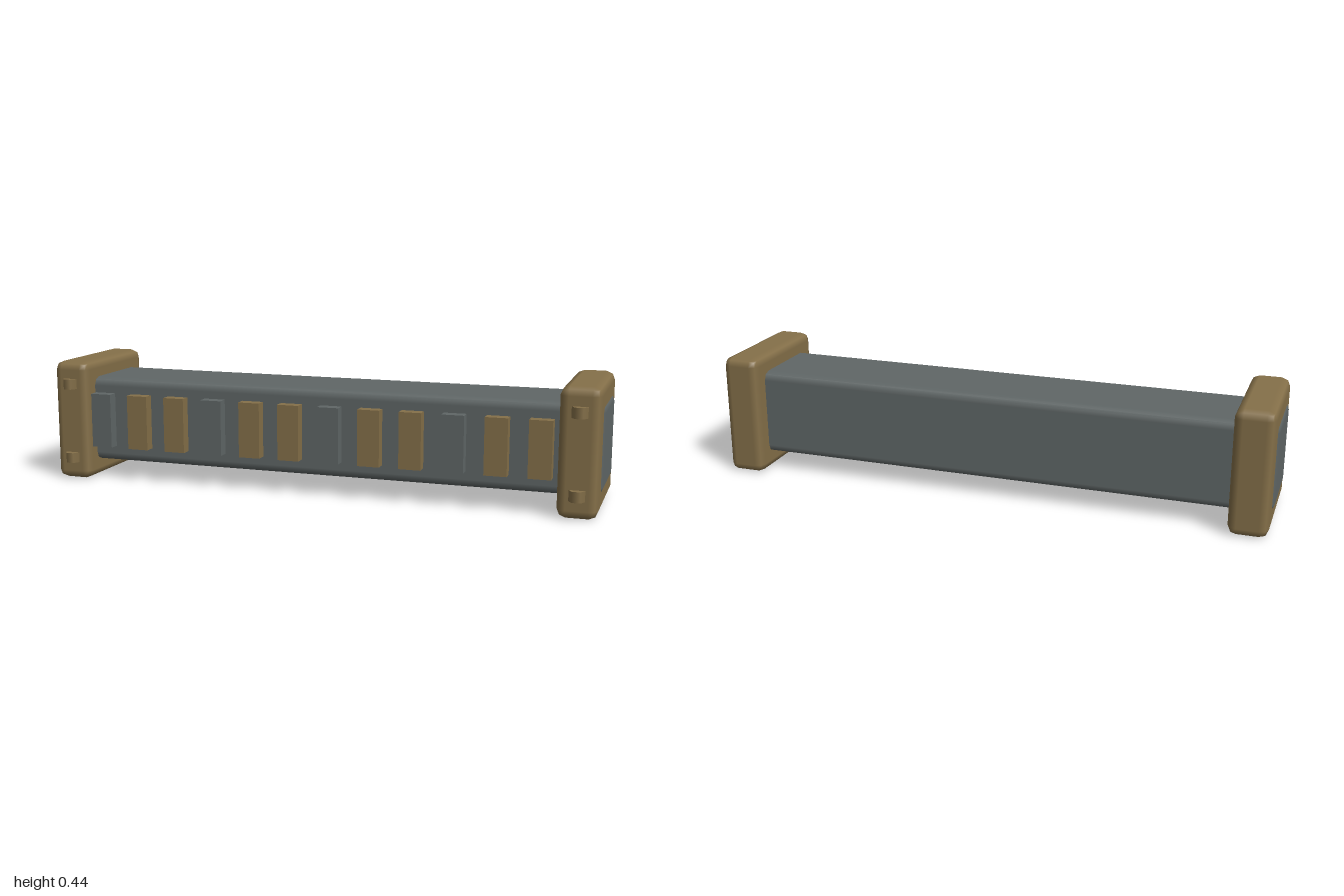
import * as THREE from 'three';
import { RoundedBoxGeometry } from 'three/addons/geometries/RoundedBoxGeometry.js';

const CY = 0.22, CZ = -0.011; // centre line of the bar

export function createModel() {
  const group = new THREE.Group();
  const bronze = new THREE.MeshStandardMaterial({ color: 0x857049 });
  bronze.name = 'bronze';
  const steel = new THREE.MeshStandardMaterial({ color: 0x606767 });
  steel.name = 'steel grey';

  const add = (name, geometry, material, x, y, z) => {
    const mesh = new THREE.Mesh(geometry, material);
    mesh.name = name;
    mesh.position.set(x, y, z);
    group.add(mesh);
    return mesh;
  };

  // Long bar, running through both end caps
  add('bar', new RoundedBoxGeometry(2, 0.312, 0.312, 1, 0.03), steel, 0, CY, CZ);

  // End caps with hexagonal pegs on the front
  const cap = new RoundedBoxGeometry(0.135, 0.438, 0.438, 1, 0.03);
  const peg = new THREE.CylinderGeometry(0.0275, 0.0275, 0.037, 6).rotateY(Math.PI / 2);
  peg.rotateY(Math.PI / 3);
  // turn the hexagon so a flat side faces forward
  peg.computeBoundingBox();
  if (peg.boundingBox.max.z > 0.025) peg.rotateY(Math.PI / 6);
  for (const side of [-1, 1]) {
    add('endCap', cap, bronze, side * 0.926, 0.219, CZ);
    for (const y of [0.0825, 0.3575]) add('peg', peg, bronze, side * 0.926, y, 0.207);
  }

  // Row of blocks along the front, every third one grey
  const block = new THREE.BoxGeometry(0.078, 0.198, 0.06);
  for (let i = 0; i < 12; i++) {
    add('frontBlock', block, i % 3 === 0 ? steel : bronze, -0.815 + i * 0.1468, 0.221, 0.154);
  }

  return group;
}
